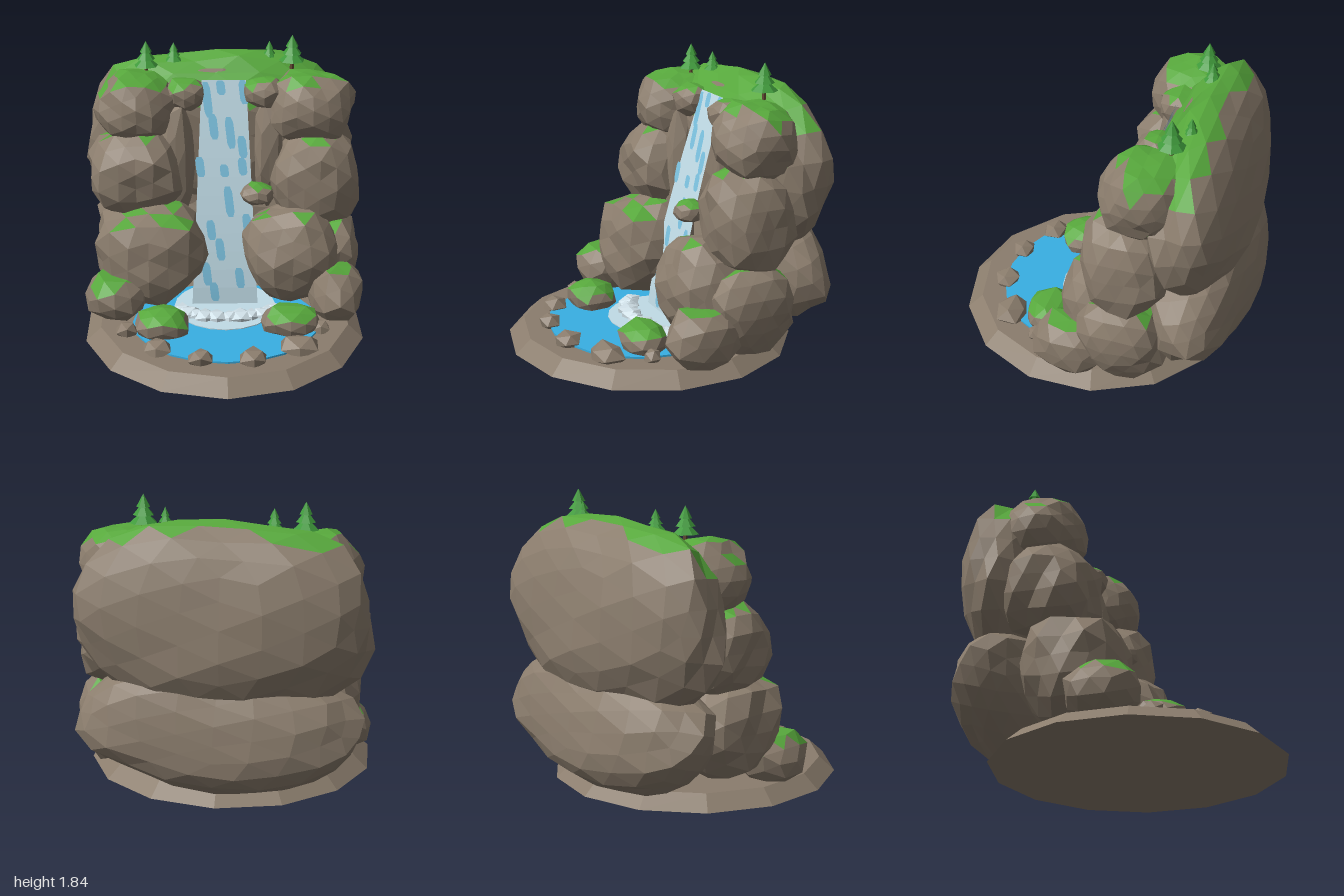
import * as THREE from 'three';

const paint = (name, color, side = THREE.FrontSide) => {
  const m = new THREE.MeshStandardMaterial({ color, side, flatShading: true });
  m.name = name;
  return m;
};

export function createModel() {
  const model = new THREE.Group();
  const rockMat = paint('rock', 0x8b7d6d);
  const mossMat = paint('moss', 0x57a83c);
  const poolMat = paint('poolWater', 0x38b0e4);
  const fallMat = paint('fallingWater', 0xc4e0eb, THREE.DoubleSide);
  const streakMat = paint('waterStreak', 0x7cc2e0, THREE.DoubleSide);
  const foamMat = paint('foam', 0xdcedf5);
  const leafMat = paint('pineNeedles', 0x3f9a3b);
  const trunkMat = paint('trunk', 0x5f4630);

  const add = (name, geometry, material, x = 0, y = 0, z = 0, parent = model) => {
    const mesh = new THREE.Mesh(geometry, material);
    mesh.name = name;
    mesh.position.set(x, y, z);
    parent.add(mesh);
    return mesh;
  };

  // Faceted boulder: a sphere squared off by power, roughened by waves. Faces
  // pointing up (and forward by lean) beyond a patchy limit get the moss material.
  let seed = 1;
  function boulder(name, [x, y, z], [rx, ry, rz], { moss = 2, lean = 0, detail = 2, power = 2.4, rough = 0.06, mat = rockMat } = {}) {
    const geo = new THREE.IcosahedronGeometry(1, detail);
    const p = geo.attributes.position;
    const v = new THREE.Vector3();
    const s = (seed += 1.7);
    for (let i = 0; i < p.count; i++) {
      v.fromBufferAttribute(p, i);
      const norm = (Math.abs(v.x) ** power + Math.abs(v.y) ** power + Math.abs(v.z) ** power) ** (1 / power);
      const wave = Math.sin(5 * v.x + 3 * v.y + s) + Math.sin(6 * v.z - 4 * v.y + 2 * s) * 0.7
        + Math.sin(9 * v.x - 8 * v.z + 7 * v.y + 3 * s) * 0.5;
      v.multiplyScalar((1 + rough * wave) / norm);
      p.setXYZ(i, v.x * rx, v.y * ry, v.z * rz);
    }
    geo.computeVertexNormals();
    const n = geo.attributes.normal;
    const order = [[], []];
    for (let i = 0; i < p.count; i += 3) {
      const patch = 0.12 * Math.sin(17 * p.getX(i) + 13 * p.getZ(i) + s);
      const up = n.getY(i) + lean * n.getZ(i) + patch;
      order[up > moss ? 1 : 0].push(i, i + 1, i + 2);
    }
    geo.setIndex([...order[0], ...order[1]]);
    geo.addGroup(0, order[0].length, 0);
    geo.addGroup(order[0].length, order[1].length, 1);
    return add(name, geo, [mat, mossMat], x, y, z);
  }

  // Ground disc, pool and foam sheet
  add('groundDisc', new THREE.CylinderGeometry(0.83, 0.93, 0.09, 14), rockMat, 0.012, 0.045, 0.07);
  const pool = add('pool', new THREE.CylinderGeometry(1, 1, 0.015, 20), poolMat, 0.02, 0.095, 0.2);
  pool.scale.set(0.61, 1, 0.54);
  add('foamSheet', new THREE.CylinderGeometry(0.34, 0.34, 0.006, 20), fallMat, 0.02, 0.106, 0);

  // Cliff mass at the back
  const upper = boulder('upperCliff', [-0.03, 1.12, -0.635], [0.9, 0.59, 0.32],
    { moss: 0.6, lean: 0.25, detail: 3, power: 2.25, rough: 0.035 });
  upper.rotation.x = 0.06;
  const lower = boulder('lowerCliff', [0, 0.47, -0.665], [0.86, 0.41, 0.32], { detail: 3, power: 2.2, rough: 0.035 });
  lower.rotation.set(0.3, 0, 0.05);
  boulder('gorgeWall', [0.02, 0.86, -0.575], [0.42, 0.77, 0.19], { power: 5, rough: 0.012, detail: 3 });

  // Right (-x) and left (+x) rock towers: name, centre, radii, moss limit, squareness
  const towers = [
    ['lowerOuterRock', [-0.7, 0.24, 0.06], [0.2, 0.16, 0.22], 0.55, 2.6],
    ['lowerTowerRock', [-0.48, 0.45, -0.15], [0.37, 0.34, 0.32], 0.93, 2.5],
    ['middleTowerRock', [-0.56, 0.98, -0.32], [0.3, 0.28, 0.28], 0.9, 3],
    ['topTowerRock', [-0.55, 1.4, -0.39], [0.27, 0.23, 0.27], 0.72, 2.2],
    ['lipRock', [-0.24, 1.48, -0.37], [0.13, 0.11, 0.13], 0.72, 2.4],
    ['gorgeSideRock', [-0.3, 1.0, -0.35], [0.12, 0.45, 0.15], 2, 2.4],
    ['bankRock', [-0.39, 0.15, 0.32], [0.18, 0.11, 0.16], 0.65, 2.2],
    ['lowerFrontRock', [0.76, 0.24, 0.04], [0.18, 0.19, 0.24], 0.83, 2.5],
    ['lowerOuterRock', [0.71, 0.37, -0.28], [0.21, 0.28, 0.29], 0.78, 2.7],
    ['lowerTowerRock', [0.46, 0.46, -0.12], [0.32, 0.32, 0.28], 0.97, 2.4],
    ['middleTowerRock', [0.64, 0.92, -0.3], [0.29, 0.34, 0.27], 0.9, 2.6],
    ['topTowerRock', [0.59, 1.39, -0.38], [0.29, 0.24, 0.26], 0.68, 2.3],
    ['lipRock', [0.28, 1.49, -0.37], [0.14, 0.1, 0.14], 0.85, 2.2],
    ['gorgeSideRock', [0.32, 1.1, -0.38], [0.1, 0.4, 0.14], 2, 2.4],
    ['ledgeRock', [0.235, 0.875, -0.11], [0.11, 0.07, 0.1], 0.9, 2.2],
    ['bankRock', [0.43, 0.15, 0.3], [0.19, 0.11, 0.15], 0.55, 2.2],
  ];
  for (const [name, at, size, moss, power] of towers) {
    boulder((at[0] < 0 ? 'right' : 'left') + name[0].toUpperCase() + name.slice(1), at, size,
      { moss, power, detail: size[0] > 0.2 ? 2 : 1, rough: 0.055 });
  }

  // Stones around the pool: x, z, radius
  for (const [x, z, r] of [[-0.43, 0.57, 0.1], [-0.15, 0.71, 0.08], [0.18, 0.71, 0.105],
    [0.47, 0.56, 0.13], [0.63, 0.33, 0.065], [-0.62, 0.34, 0.07]]) {
    boulder('poolStone', [x, 0.11, z], [r, 0.065, r * 0.9], { detail: 0, power: 2.1, rough: 0.1 });
  }

  // Waterfall sheet, leaning back and widening downwards
  const fallZ = (y) => -0.02 - 0.36 * (Math.max(0, y - 0.1) / 1.47) ** 1.3;
  function waterStrip(name, left, right, y0, y1, steps, lift, mat) {
    const pos = [], index = [];
    for (let i = 0; i <= steps; i++) {
      const y = y0 + (y1 - y0) * i / steps;
      pos.push(left(y), y, fallZ(y) + lift, right(y), y, fallZ(y) + lift);
      const a = i * 2;
      if (i < steps) index.push(a, a + 1, a + 3, a, a + 3, a + 2);
    }
    const geo = new THREE.BufferGeometry();
    geo.setAttribute('position', new THREE.Float32BufferAttribute(pos, 3));
    geo.setIndex(index);
    geo.computeVertexNormals();
    add(name, geo, mat);
  }
  const half = (y) => 0.225 - 0.05 * y;
  waterStrip('waterfall', (y) => 0.02 - half(y), (y) => 0.02 + half(y), 0.1, 1.57, 12, 0, fallMat);

  // Streaks on the waterfall: x, bottom, top; each leans sideways a little
  for (const [x, y0, y1] of [[-0.09, 1.34, 1.56], [0, 1.48, 1.57], [0.15, 1.42, 1.57], [0.06, 1.14, 1.34],
    [-0.05, 1.2, 1.36], [0.14, 1.08, 1.22], [-0.14, 0.96, 1.09], [0.02, 0.96, 1.04], [0.14, 0.97, 1.08],
    [0.05, 0.7, 0.9], [-0.07, 0.55, 0.68], [-0.01, 0.41, 0.56], [0.17, 0.57, 0.72], [-0.1, 0.24, 0.4],
    [-0.05, 0.13, 0.26], [0.12, 0.22, 0.36]]) {
    const mid = (y) => x - 0.12 * (y - (y0 + y1) / 2);
    const w = (y) => 0.028 * Math.sqrt(Math.max(0.3, 1 - ((2 * y - y0 - y1) / (y1 - y0)) ** 8));
    waterStrip('waterStreak', (y) => mid(y) - w(y), (y) => mid(y) + w(y), y0, y1, 6, 0.007, streakMat);
  }

  // Foam lumps in an arc at the foot of the fall
  for (let i = 0; i < 11; i++) {
    const a = -1.2 + i * 0.24;
    const r = 0.068 + 0.012 * Math.sin(i * 2.3);
    boulder('foamLump', [0.04 + 0.33 * Math.sin(a), 0.115, 0.03 + 0.15 * Math.cos(a)], [r, 0.042, r * 1.1],
      { detail: 0, power: 2, rough: 0.1, mat: foamMat });
  }

  // Pine trees: x, base y, z, height, radius
  for (const [x, y, z, h, r] of [[-0.49, 1.59, -0.48, 0.22, 0.08], [-0.31, 1.62, -0.55, 0.16, 0.058],
    [0.33, 1.62, -0.58, 0.16, 0.052], [0.475, 1.61, -0.5, 0.23, 0.086]]) {
    const tree = new THREE.Group();
    tree.name = 'pineTree';
    tree.position.set(x, y, z);
    model.add(tree);
    add('trunk', new THREE.CylinderGeometry(r * 0.14, r * 0.18, h * 0.4, 6), trunkMat, 0, h * 0.2, 0, tree);
    for (let i = 0; i < 3; i++) {
      add('branches', new THREE.ConeGeometry(r * (1 - 0.25 * i), h * 0.34, 7), leafMat, 0, h * (0.41 + 0.21 * i), 0, tree);
    }
  }
  return model;
}
